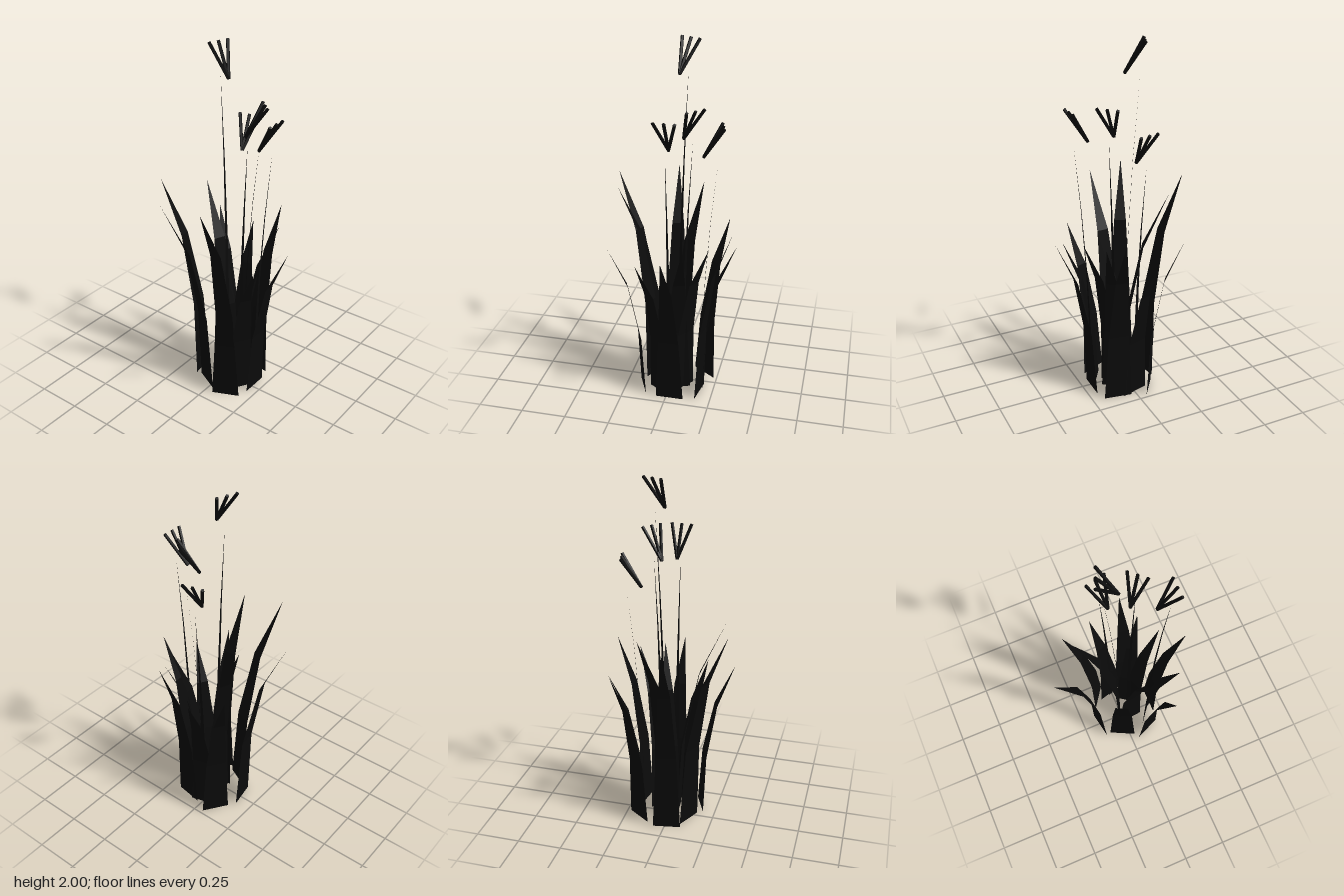
import * as THREE from 'three';

const material = new THREE.MeshStandardMaterial({ color: 0x0b0b0b, flatShading: true, side: THREE.DoubleSide });

// Flat tapering strip that bends from its root (x, z) towards its tip (x, y, z).
// rows: [height fraction, outward fraction, width fraction]
function strip([rx, rz], [tx, ty, tz], width, rows) {
  const dx = tx - rx, dz = tz - rz, len = Math.hypot(dx, dz);
  const sx = -dz / len * width / 2, sz = dx / len * width / 2;
  const positions = [], index = [];
  rows.forEach(([h, out, w], i) => {
    const x = rx + dx * out, z = rz + dz * out;
    positions.push(x - sx * w, ty * h, z - sz * w, x + sx * w, ty * h, z + sz * w);
    if (i === 0) return;
    const a = 2 * i - 2;
    index.push(a, a + 2, a + 1);
    if (w > 0) index.push(a + 1, a + 2, a + 3);
  });
  const geometry = new THREE.BufferGeometry();
  geometry.setAttribute('position', new THREE.Float32BufferAttribute(positions, 3));
  geometry.setIndex(index);
  geometry.computeVertexNormals();
  return geometry;
}

// Thin rod between two points
function rod(from, to, radius) {
  const dir = to.clone().sub(from);
  const geometry = new THREE.CylinderGeometry(radius, radius, dir.length(), 5);
  geometry.applyQuaternion(new THREE.Quaternion().setFromUnitVectors(
    new THREE.Vector3(0, 1, 0), dir.clone().normalize()));
  const mid = from.clone().add(to).multiplyScalar(0.5);
  return geometry.translate(mid.x, mid.y, mid.z);
}

export function createModel() {
  const group = new THREE.Group();
  const add = (parent, name, geometry) => {
    const mesh = new THREE.Mesh(geometry, material);
    mesh.name = name;
    parent.add(mesh);
  };

  // Leaves: root (x, z), tip (x, y, z)
  const leafRows = [[0, 0, 1], [0.39, 0.1, 0.73], [0.74, 0.43, 0.43], [1, 1, 0]];
  const leaves = [
    [[-0.152, 0.013], [-0.4, 1.19, 0.055]],
    [[-0.042, 0.116], [-0.156, 1.22, 0.344]],
    [[0.039, 0.038], [0.06, 1.21, 0.29]],
    [[0.117, 0.15], [0.193, 0.9, 0.32]],
    [[0.142, 0.046], [0.293, 0.87, 0.143]],
    [[0.2, -0.021], [0.398, 0.95, -0.021]],
    [[0.088, -0.04], [0.274, 0.96, -0.107]],
    [[0.077, -0.075], [0.197, 0.96, -0.235]],
    [[0.105, -0.175], [0.135, 1.03, -0.348]],
    [[-0.004, -0.167], [-0.053, 0.87, -0.344]],
    [[-0.092, -0.167], [-0.242, 0.95, -0.273]],
    [[0.004, -0.034], [-0.22, 1.17, -0.126]],
  ];
  leaves.forEach(([root, tip], i) => add(group, `leaf${i + 1}`, strip(root, tip, 0.156, leafRows)));

  // Flower stalks: root x, height, root z, direction of lean (x, z)
  const stemRows = [[0, 0, 1], [0.25, 0.06, 0.75], [0.5, 0.25, 0.5], [0.75, 0.56, 0.25], [1, 1, 0]];
  const stalks = [
    [0, 1.825, -0.032, -0.92, -0.38],
    [0.078, 1.515, -0.072, 0.68, -0.73],
    [0.2, 1.49, -0.021, 1, 0],
    [-0.006, 1.39, -0.16, -0.24, -0.97],
  ];
  stalks.forEach(([x, y, z, dx, dz], i) => {
    const stalk = new THREE.Group();
    stalk.name = `flowerStalk${i + 1}`;
    add(stalk, 'stem', strip([x, z], [x + dx * 0.08, y, z + dz * 0.08], 0.03, stemRows));
    // Three spreading spikes form the flower head
    const foot = new THREE.Vector3(x, y, z);
    for (const side of [-0.055, 0, 0.055]) {
      const end = new THREE.Vector3(x + dx * 0.103 - dz * side, y + 0.17, z + dz * 0.103 + dx * side);
      add(stalk, 'flowerSpike', rod(foot, end, 0.009));
    }
    group.add(stalk);
  });
  return group;
}
